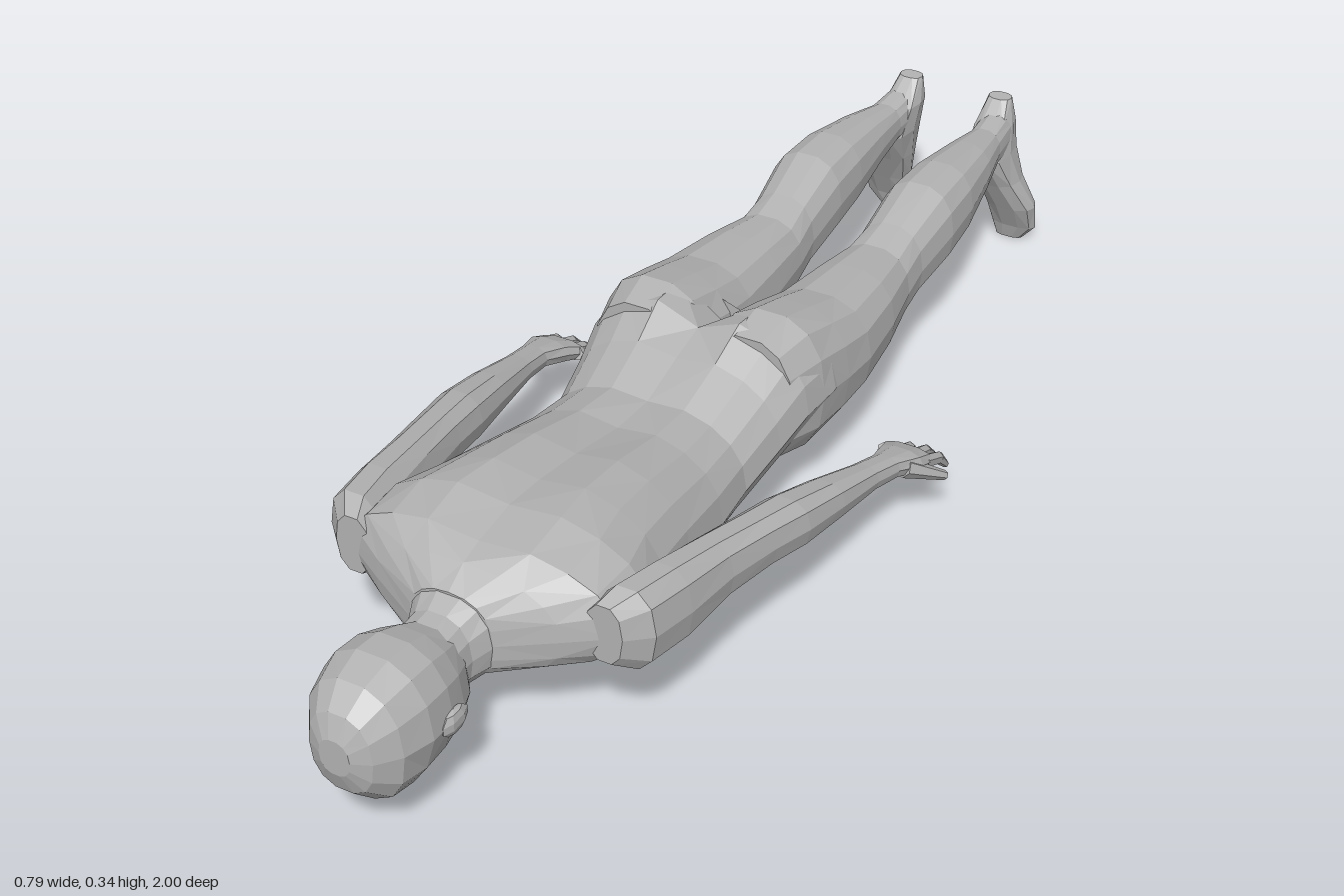
import * as THREE from 'three';

const skin = new THREE.MeshStandardMaterial({ color: 0xb3b3b3 });
skin.name = 'grey';
skin.flatShading = true;

const SIDES = 14;

// Skin a list of closed rings with flat facets and capped ends
function skinRings(name, rings) {
  const n = rings[0].length, pos = [], idx = [];
  rings.forEach(r => r.forEach(p => pos.push(...p)));
  for (let i = 0; i < rings.length - 1; i++) {
    for (let k = 0; k < n; k++) {
      const a = i * n + k, b = i * n + (k + 1) % n, c = a + n, d = b + n;
      // alternate the diagonals for an irregular faceted surface
      if ((i + k) % 2) idx.push(a, c, b, b, c, d);
      else idx.push(a, c, d, a, d, b);
    }
  }
  const last = (rings.length - 1) * n;
  for (let k = 1; k < n - 1; k++) {
    idx.push(0, k, k + 1);
    idx.push(last, last + k + 1, last + k);
  }
  const g = new THREE.BufferGeometry();
  g.setAttribute('position', new THREE.Float32BufferAttribute(pos, 3));
  g.setIndex(idx);
  g.computeVertexNormals();
  const m = new THREE.Mesh(g, skin);
  m.name = name;
  return m;
}

const soft = v => Math.sign(v) * Math.pow(Math.abs(v), 0.85);

// Ring across z: [z, centre x, half width, top y, bottom y, lower taper, top groove]
function ringZ([z, cx, w, top, bot, taper = 0, groove = 0], side, n) {
  return Array.from({ length: n }, (_, k) => {
    const a = k / n * Math.PI * 2, c = soft(Math.cos(a)), s = soft(Math.sin(a));
    const dx = w * c * (1 + taper * Math.min(s, 0));
    const dip = s > 0 ? groove * Math.max(0, 1 - Math.abs(dx) / 0.07) : 0;
    return [cx * side + dx, (top + bot) / 2 + (top - bot) / 2 * s - dip, z];
  });
}
const loftZ = (name, list, side = 1, n = SIDES) => skinRings(name, list.map(r => ringZ(r, side, n)));

// Ring across y: [y, centre x, half width, front z, back z]
function loftY(name, list, side, n = 10) {
  return skinRings(name, list.map(([y, cx, w, zf, zb]) => Array.from({ length: n }, (_, k) => {
    const a = k / n * Math.PI * 2;
    return [cx * side + w * soft(Math.cos(a)), y, (zf + zb) / 2 - (zf - zb) / 2 * soft(Math.sin(a))];
  })));
}

// Tapered digit between two points
function digit(name, from, to, r0, r1) {
  const a = new THREE.Vector3(...from), b = new THREE.Vector3(...to), d = b.clone().sub(a);
  const m = new THREE.Mesh(new THREE.CylinderGeometry(r1, r0, d.length(), 6), skin);
  m.position.copy(a).add(b).multiplyScalar(0.5);
  m.quaternion.setFromUnitVectors(new THREE.Vector3(0, 1, 0), d.normalize());
  m.name = name;
  return m;
}

export function createModel() {
  const body = new THREE.Group();
  body.name = 'proneFigure';

  // Torso from neck base to buttocks, lying face down
  body.add(loftZ('torso', [
    [0.72, 0, 0.07, 0.27, 0.13],
    [0.68, 0, 0.155, 0.295, 0.13],
    [0.64, 0, 0.23, 0.318, 0.125, 0.1, 0.012],
    [0.56, 0, 0.235, 0.332, 0.07, 0.3, 0.015],
    [0.48, 0, 0.21, 0.328, 0.038, 0.3, 0.018],
    [0.38, 0, 0.195, 0.312, 0.018, 0.28, 0.018],
    [0.26, 0, 0.182, 0.282, 0.022, 0.25, 0.015],
    [0.17, 0, 0.174, 0.272, 0.035, 0.2, 0.01],
    [0.08, 0, 0.186, 0.305, 0.055, 0.2, 0.015],
    [0.01, 0, 0.198, 0.342, 0.07, 0.2, 0.035],
    [-0.07, 0, 0.205, 0.335, 0.085, 0.2, 0.06],
    [-0.12, 0, 0.196, 0.3, 0.11, 0.2, 0.08],
  ], 1, 20));

  // Neck
  body.add(loftZ('neck', [
    [0.82, 0, 0.055, 0.25, 0.13],
    [0.75, 0, 0.055, 0.255, 0.125],
    [0.7, 0, 0.078, 0.275, 0.125],
    [0.64, 0, 0.12, 0.3, 0.12],
  ]));

  // Head, crown forward and face down
  body.add(loftZ('head', [
    [1, 0, 0.025, 0.215, 0.155],
    [0.985, 0, 0.052, 0.25, 0.115],
    [0.95, 0, 0.078, 0.28, 0.08],
    [0.9, 0, 0.092, 0.292, 0.064, 0.2],
    [0.85, 0, 0.09, 0.286, 0.062, 0.25],
    [0.81, 0, 0.08, 0.27, 0.06, 0.3],
    [0.77, 0, 0.062, 0.25, 0.055, 0.35],
    [0.748, 0, 0.045, 0.235, 0.075, 0.4],
  ]));
  const nose = new THREE.Mesh(new THREE.ConeGeometry(0.017, 0.05, 4), skin);
  nose.name = 'nose';
  nose.rotation.x = Math.PI;
  nose.position.set(0, 0.06, 0.845);
  body.add(nose);

  for (const side of [1, -1]) {
    const label = side > 0 ? 'left' : 'right';

    // Ear
    const ear = new THREE.Mesh(new THREE.SphereGeometry(1, 7, 5), skin);
    ear.name = label + 'Ear';
    ear.scale.set(0.01, 0.02, 0.032);
    ear.position.set(side * 0.09, 0.175, 0.85);
    body.add(ear);

    // Leg: buttock, thigh, knee, calf, ankle
    body.add(loftZ(label + 'Leg', [
      [0.03, 0.1, 0.08, 0.33, 0.1],
      [-0.04, 0.103, 0.098, 0.342, 0.085],
      [-0.12, 0.105, 0.1, 0.318, 0.088],
      [-0.2, 0.108, 0.097, 0.292, 0.098],
      [-0.32, 0.106, 0.084, 0.277, 0.105],
      [-0.42, 0.102, 0.068, 0.262, 0.115],
      [-0.48, 0.104, 0.062, 0.275, 0.122],
      [-0.58, 0.108, 0.069, 0.306, 0.138],
      [-0.67, 0.108, 0.065, 0.304, 0.152],
      [-0.79, 0.105, 0.049, 0.285, 0.178],
      [-0.88, 0.1, 0.034, 0.268, 0.188],
      [-0.96, 0.095, 0.032, 0.275, 0.18],
    ], side));

    // Foot with toes pointing down
    body.add(loftY(label + 'Foot', [
      [0.292, 0.09, 0.022, -0.955, -0.988],
      [0.25, 0.092, 0.034, -0.9, -0.996],
      [0.2, 0.098, 0.036, -0.868, -0.996],
      [0.14, 0.11, 0.04, -0.905, -0.992],
      [0.08, 0.128, 0.048, -0.938, -1],
      [0.03, 0.13, 0.044, -0.965, -1],
      [0, 0.122, 0.026, -0.975, -0.995],
    ], side));

    // Arm: shoulder, elbow, wrist, palm
    body.add(loftZ(label + 'Arm', [
      [0.655, 0.21, 0.03, 0.282, 0.18],
      [0.62, 0.228, 0.046, 0.298, 0.155],
      [0.54, 0.243, 0.044, 0.29, 0.15],
      [0.44, 0.258, 0.04, 0.272, 0.165],
      [0.34, 0.275, 0.04, 0.254, 0.162],
      [0.26, 0.288, 0.042, 0.24, 0.15],
      [0.16, 0.302, 0.036, 0.212, 0.142],
      [0.05, 0.316, 0.026, 0.177, 0.13],
      [-0.01, 0.324, 0.026, 0.16, 0.118],
      [-0.06, 0.327, 0.04, 0.145, 0.102],
      [-0.1, 0.322, 0.045, 0.125, 0.09],
    ], side, 10));

    // Fingers, slightly curled, and thumb on the outer side
    for (let i = 0; i < 4; i++) {
      const x0 = 0.287 + i * 0.023, x1 = 0.276 + i * 0.029;
      const reach = [-0.135, -0.165, -0.175, -0.16][i];
      const mid = [side * (x0 + x1) / 2, 0.09, (reach - 0.09) / 2 - 0.01];
      body.add(digit(label + 'FingerBase' + i, [side * x0, 0.112, -0.085], mid, 0.012, 0.0105));
      body.add(digit(label + 'FingerTip' + i, mid, [side * x1, 0.063, reach], 0.0105, 0.006));
    }
    body.add(digit(label + 'Thumb', [side * 0.345, 0.128, -0.035], [side * 0.388, 0.087, -0.1], 0.017, 0.008));
  }
  return body;
}
